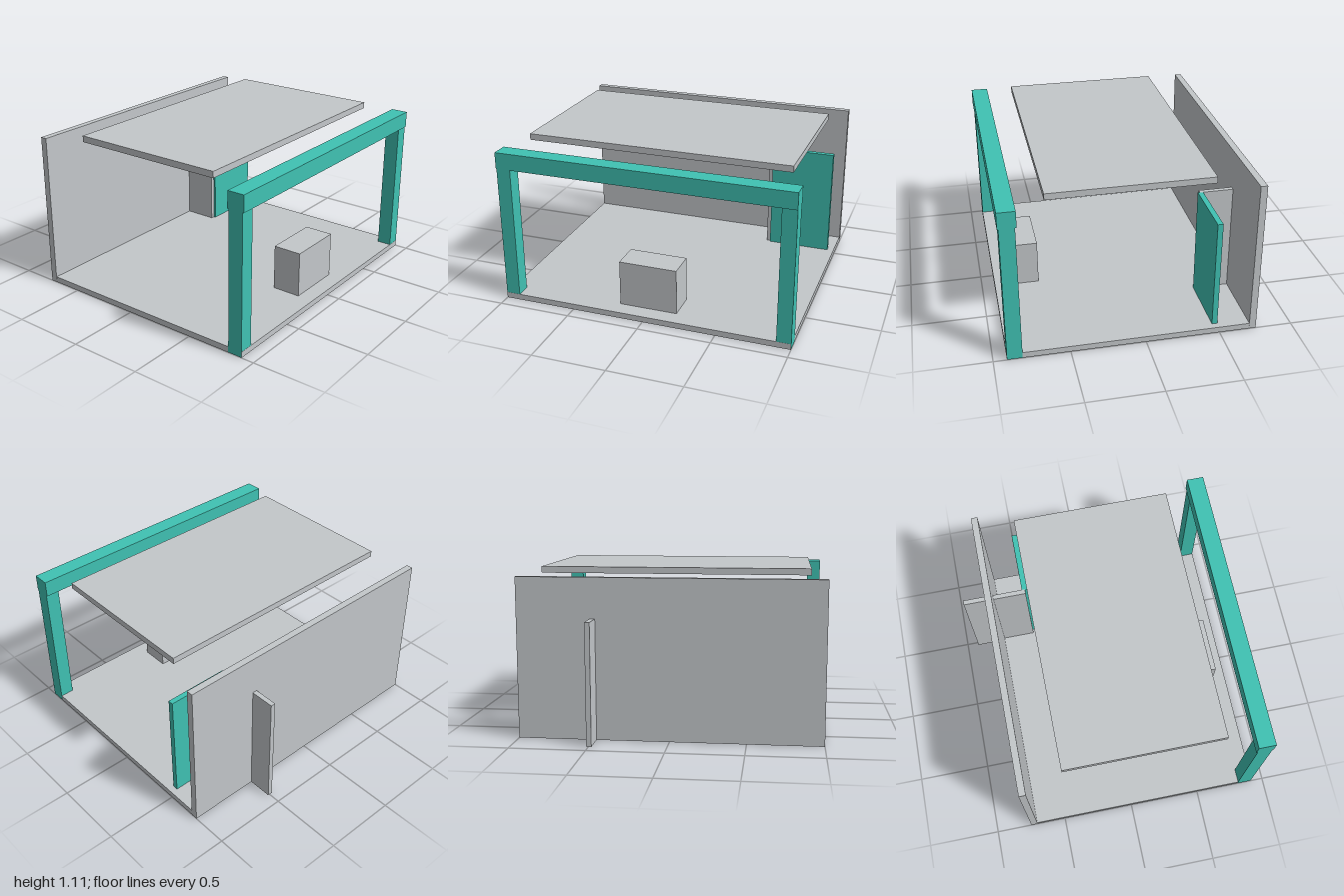
import * as THREE from 'three';

export function createModel() {
  const group = new THREE.Group();
  const grey = new THREE.MeshStandardMaterial({ color: 0xc3c7ca });
  grey.name = 'light grey';
  const teal = new THREE.MeshStandardMaterial({ color: 0x40c2b3 });
  teal.name = 'teal';

  // Box given by its [min, max] extent along each axis
  const slab = (name, material, x, y, z) => {
    const size = [x, y, z].map(([a, b]) => b - a);
    const mid = [x, y, z].map(([a, b]) => (a + b) / 2);
    const mesh = new THREE.Mesh(new THREE.BoxGeometry(...size), material);
    mesh.position.set(...mid);
    mesh.name = name;
    group.add(mesh);
  };

  // Shell: floor, rear wall and floating roof
  slab('floor', grey, [-0.999, 0.999], [0, 0.04], [-0.75, 0.912]);
  slab('backWall', grey, [-1, 1], [0, 1.067], [-0.752, -0.706]);
  slab('roof', grey, [-0.9, 0.9], [1.067, 1.11], [-0.46, 0.622]);

  // Front portal frame
  for (const side of [-1, 1]) {
    const x = side < 0 ? [-1, -0.903] : [0.903, 1];
    slab(side < 0 ? 'rightPost' : 'leftPost', teal, x, [0.001, 0.955], [0.811, 0.911]);
  }
  slab('frontBeam', teal, [-1, 1], [0.955, 1.067], [0.801, 0.918]);

  // Counter block
  slab('counter', grey, [-0.2, 0.2], [0.04, 0.355], [0.6, 0.8]);

  // Partition through the rear wall, with its coloured panel
  slab('partition', grey, [0.48, 0.513], [0, 0.8], [-0.918, -0.475]);
  slab('doorPanel', teal, [0.508, 0.953], [-0.001, 0.8], [-0.497, -0.46]);

  return group;
}
